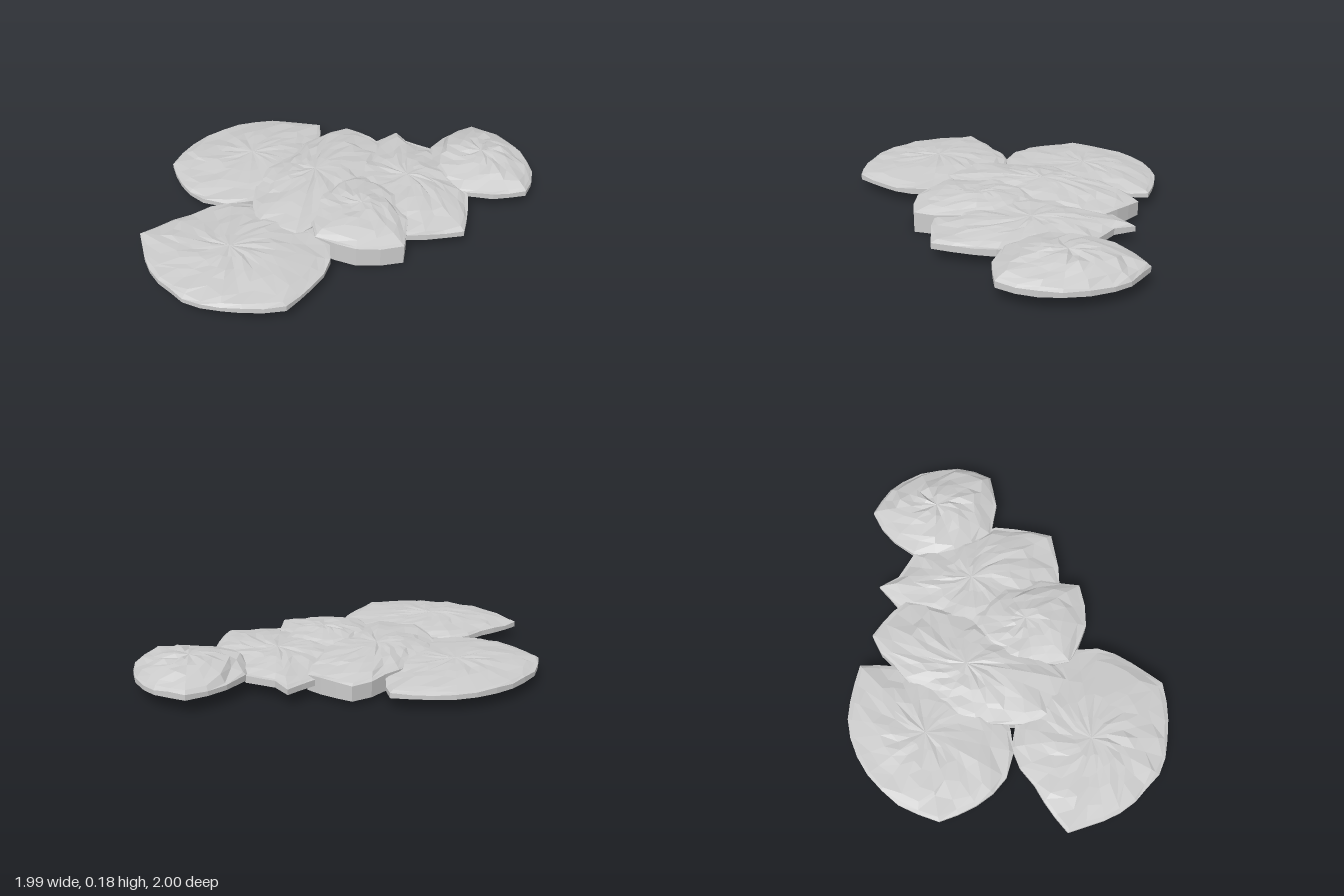
import * as THREE from 'three';

// Repeatable pseudo-random value in -1..1
function makeRandom(seed) {
  let s = seed * 7919 + 17;
  return () => {
    s = (s * 16807) % 2147483647;
    return (s / 2147483647) * 2 - 1;
  };
}

// Main corners as x, z pairs, clockwise from above; the edges between them bow outwards
const SLABS = [
  { name: 'leftSlab', base: 0.06, rim: 0.088, top: 0.125, bow: 0.08,
    corners: [-0.35, -0.71, -0.29, -0.53, -0.18, -0.05, -0.52, 0.24, -0.66, 0.25, -0.99, 0, -0.94, -0.34, -0.74, -0.6] },
  { name: 'frontSlab', base: 0.06, rim: 0.09, top: 0.127, bow: 0.06,
    corners: [-0.5, 0.22, 0, 0.2, 0.18, 0.48, 0.11, 0.87, -0.28, 1, -0.55, 0.92, -0.82, 0.64, -0.65, 0.4] },
  { name: 'rightSlab', base: 0.06, rim: 0.095, top: 0.138, bow: 0.03,
    corners: [0.12, -0.79, 0.21, -0.71, 0.37, -0.68, 0.69, -0.3, 0.75, 0.02, 0.48, 0.16, 0.05, 0.08, -0.08, -0.35,
      0.03, -0.63] },
  { name: 'backSlab', base: 0.07, rim: 0.1, top: 0.172, bow: 0.07,
    corners: [0.54, -1, 0.79, -0.92, 0.94, -0.74, 0.985, -0.44, 0.64, -0.31, 0.45, -0.45, 0.37, -0.68, 0.41, -0.82] },
  { name: 'middleSlab', base: 0.025, rim: 0.108, top: 0.155, bow: 0.05,
    corners: [-0.17, -0.71, 0.08, -0.61, 0.14, -0.2, 0, 0.3, -0.05, 0.39, -0.28, 0.38, -0.38, 0.2, -0.46, -0.1,
      -0.29, -0.53] },
  { name: 'lowerSlab', base: 0, rim: 0.11, top: 0.16, bow: 0.06,
    corners: [0.02, -0.27, 0.28, -0.22, 0.48, 0.17, 0.5, 0.27, 0.28, 0.38, 0.05, 0.36, -0.11, 0] },
];

// Sharp corners joined by short, slightly ragged segments along each bowed edge
function raggedOutline(points, bow, random) {
  const outline = [];
  points.forEach((p, i) => {
    const q = points[(i + 1) % points.length];
    const along = q.clone().sub(p);
    const outward = new THREE.Vector2(along.y, -along.x);
    const steps = Math.max(1, Math.round(along.length() / 0.1));
    outline.push(p);
    for (let k = 1; k < steps; k++) {
      const u = k / steps;
      const v = p.clone().lerp(q, u).addScaledVector(outward, bow * 4 * u * (1 - u));
      outline.push(v.addScaledVector(outward.clone().normalize(), random() * 0.008));
    }
  });
  return outline;
}

// Straight sides from the base to the rim, then shrinking rings over an uneven crown
function slabGeometry({ base, rim, top, bow, corners }, seed) {
  const random = makeRandom(seed);
  const points = [];
  for (let i = 0; i < corners.length; i += 2) points.push(new THREE.Vector2(corners[i], corners[i + 1]));
  const centre = new THREE.Box2().setFromPoints(points).getCenter(new THREE.Vector2());
  const edge = raggedOutline(points, bow, random);

  const rows = [];
  const addRow = (scale, height, jitter, bump) => rows.push(edge.map((p) => {
    const v = centre.clone().lerp(p, scale * (1 + random() * jitter));
    return new THREE.Vector3(v.x, height + random() * bump, v.y);
  }));
  const addPoint = (y) => rows.push(edge.map(() => new THREE.Vector3(centre.x, y, centre.y)));

  const crown = top - rim;
  addPoint(base);
  addRow(1, base, 0, 0);
  addRow(1, rim - 0.003, 0, 0.006);
  for (const t of [0.95, 0.8, 0.62, 0.43, 0.22]) {
    addRow(t, rim + crown * (1 - t ** 2.5), t > 0.9 ? 0.015 : 0.1, crown * 0.14);
  }
  addPoint(top);

  const positions = [];
  const face = (...vertices) => vertices.forEach((v) => positions.push(v.x, v.y, v.z));
  for (let r = 0; r < rows.length - 1; r++) {
    for (let i = 0; i < edge.length; i++) {
      const j = (i + 1) % edge.length;
      const [a, b, c, d] = [rows[r][i], rows[r][j], rows[r + 1][j], rows[r + 1][i]];
      if (r > 0) face(a, d, b);
      if (r < rows.length - 2) face(b, d, c);
    }
  }
  const geometry = new THREE.BufferGeometry();
  geometry.setAttribute('position', new THREE.Float32BufferAttribute(positions, 3));
  geometry.computeVertexNormals();
  return geometry;
}

export function createModel() {
  const group = new THREE.Group();
  group.name = 'stoneSlabs';
  const stone = new THREE.MeshStandardMaterial({ color: 0xcccccc, flatShading: true });
  SLABS.forEach((slab, i) => {
    const mesh = new THREE.Mesh(slabGeometry(slab, i + 1), stone);
    mesh.name = slab.name;
    group.add(mesh);
  });
  return group;
}
